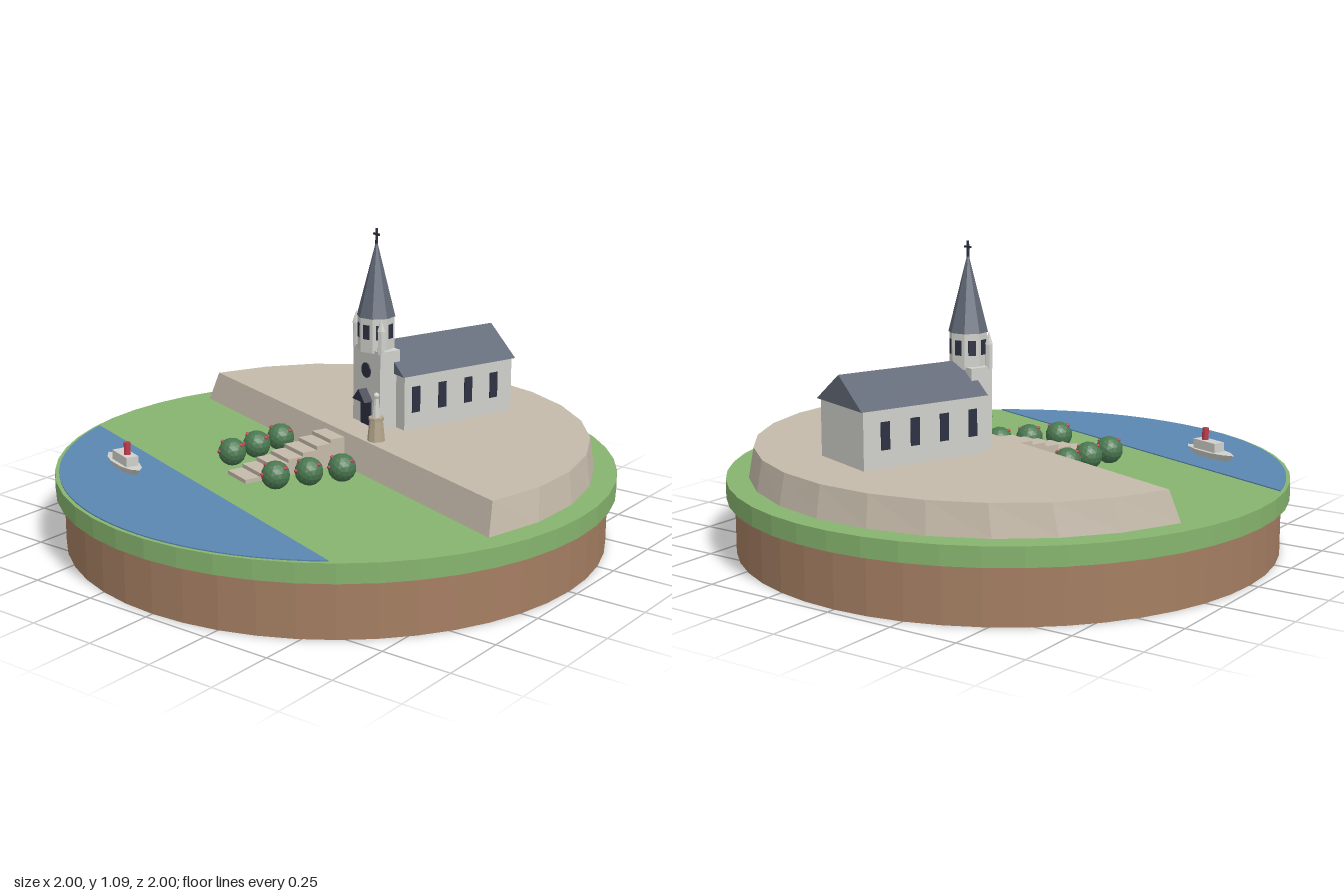
import * as THREE from 'three';

const mat = (name, color) => {
  const m = new THREE.MeshStandardMaterial({ color });
  m.name = name;
  return m;
};
const M = {
  dirt: mat('dirt', 0xa57e62),
  grass: mat('grass', 0x86b46e),
  water: mat('water', 0x5a87b2),
  stone: mat('stone', 0xc5baaa),
  wall: mat('wall', 0xd0d0cb),
  slate: mat('slate', 0x626977),
  dark: mat('darkGlass', 0x2d3142),
  bush: mat('bush', 0x4a7850),
  red: mat('red', 0xc23a4c),
  tan: mat('tan', 0xb4a58c),
};

// Facet a geometry so every face is flat
function flat(geo) {
  const g = geo.index ? geo.toNonIndexed() : geo;
  g.computeVertexNormals();
  return g;
}
function add(parent, name, geo, material, x = 0, y = 0, z = 0) {
  const mesh = new THREE.Mesh(flat(geo), material);
  mesh.name = name;
  mesh.position.set(x, y, z);
  parent.add(mesh);
  return mesh;
}
function group(parent, name, x = 0, y = 0, z = 0) {
  const g = new THREE.Group();
  g.name = name;
  g.position.set(x, y, z);
  parent.add(g);
  return g;
}
const box = (w, h, d) => new THREE.BoxGeometry(w, h, d);
const cyl = (rTop, rBottom, h, n) => new THREE.CylinderGeometry(rTop, rBottom, h, n);

// Flat outline given as [x, z] points, raised to height h
function slab(points, h) {
  const shape = new THREE.Shape(points.map(([x, z]) => new THREE.Vector2(x, -z)));
  return new THREE.ExtrudeGeometry(shape, { depth: h, bevelEnabled: false }).rotateX(-Math.PI / 2);
}
// Move the vertices of one level (top or bottom) by a rule
function moveLevel(geo, test, rule) {
  const p = geo.attributes.position;
  for (let i = 0; i < p.count; i++) {
    if (test(p.getY(i))) {
      const [x, z] = rule(p.getX(i), p.getZ(i));
      p.setX(i, x);
      p.setZ(i, z);
    }
  }
  return geo;
}
// Triangular prism along z, base at y = 0, centred on z
function prism(w, h, d) {
  const s = new THREE.Shape([[-w / 2, 0], [w / 2, 0], [0, h]].map(([x, y]) => new THREE.Vector2(x, y)));
  return new THREE.ExtrudeGeometry(s, { depth: d, bevelEnabled: false }).translate(0, 0, -d / 2);
}
function arc(r, from, to, n) {
  return Array.from({ length: n + 1 }, (_, i) => {
    const a = from + ((to - from) * i) / n;
    return [r * Math.cos(a), r * Math.sin(a)];
  });
}

const GROUND = 0.266, TERRACE = 0.375;

function buildTerrain(site) {
  // Water along the front edge
  const a = Math.asin(0.55 / 0.985);
  add(site, 'water', slab(arc(0.985, a, Math.PI - a, 32), 0.004), M.water, 0, GROUND, 0);

  // Half-round terrace with sloping sides
  const outline = arc(0.92, Math.PI, 2 * Math.PI, 14);
  outline[0][1] = outline[14][1] = 0.016;
  const terrace = slab(outline, TERRACE - GROUND);
  moveLevel(terrace, (y) => y > 0.05, (x, z) => [x * 0.972, z * 0.945 - 0.03]);
  add(site, 'terrace', terrace, M.stone, 0, GROUND, 0);

  // Steps up to the terrace
  const stairs = group(site, 'stairs', 0, GROUND, 0);
  for (let i = 0; i < 7; i++) {
    const h = 0.0142 * (i + 1);
    add(stairs, 'step', box(0.124, h, 0.058), M.stone, 0, h / 2, 0.381 - i * 0.058);
  }

  // Rows of bushes with red flowers beside the steps
  for (const side of [-1, 1]) {
    for (let i = 0; i < 3; i++) {
      const b = group(site, 'bush', side * (0.207 - 0.028 * i), 0.312, 0.108 + 0.117 * i);
      add(b, 'foliage', new THREE.IcosahedronGeometry(0.05, 2), M.bush);
      for (const [x, y, z] of [[-0.022, 0.036, 0.026], [0.034, 0.03, -0.018], [-0.006, 0.008, 0.049]]) {
        add(b, 'flower', new THREE.IcosahedronGeometry(0.008, 0), M.red, x, y, z);
      }
    }
  }
}

function buildChurch(site) {
  const church = group(site, 'church', 0, TERRACE, 0);

  // Nave and roof
  add(church, 'nave', box(0.28, 0.205, 0.48), M.wall, 0, 0.1025, -0.44);
  add(church, 'naveRoof', prism(0.298, 0.103, 0.5), M.slate, 0, 0.2, -0.44);
  for (const side of [-1, 1]) {
    for (let i = 0; i < 4; i++) {
      add(church, 'naveWindow', box(0.008, 0.095, 0.034), M.dark, side * 0.14, 0.11, -0.249 - i * 0.116);
    }
  }

  // Tower with front pinnacles
  const tower = group(church, 'tower', 0, 0, -0.17);
  add(tower, 'towerBody', box(0.174, 0.285, 0.085), M.wall, 0, 0.1425, -0.003);
  for (const side of [-1, 1]) {
    add(tower, 'pinnacle', cyl(0.013, 0.013, 0.085, 6), M.wall, side * 0.08, 0.32, 0.032);
    add(tower, 'pinnacleTip', cyl(0, 0.015, 0.045, 6), M.wall, side * 0.08, 0.385, 0.032);
  }

  // Round window, door and porch gable
  add(tower, 'roundWindow', cyl(0.028, 0.028, 0.008, 16).rotateX(Math.PI / 2), M.dark, 0, 0.203, 0.04);
  add(tower, 'door', box(0.066, 0.1, 0.008), M.dark, 0, 0.05, 0.04);
  add(tower, 'porchGable', prism(0.08, 0.043, 0.036), M.dark, 0, 0.094, 0.057);

  // Octagonal belfry with an opening on each face
  add(tower, 'belfry', cyl(0.067, 0.067, 0.125, 8), M.wall, 0, 0.3375, 0);
  for (let i = 0; i < 8; i++) {
    const a = Math.PI / 8 + (i * Math.PI) / 4;
    const w = add(tower, 'belfryWindow', box(0.026, 0.052, 0.006), M.dark, 0.0615 * Math.sin(a), 0.35, 0.0615 * Math.cos(a));
    w.rotation.y = a;
  }

  // Spire and cross
  add(tower, 'spire', cyl(0.003, 0.07, 0.265, 8), M.slate, 0, 0.5325, 0);
  add(tower, 'crossPost', box(0.007, 0.06, 0.007), M.dark, 0, 0.685, 0);
  add(tower, 'crossBar', box(0.034, 0.007, 0.007), M.dark, 0, 0.694, 0);
}

function buildStatue(site) {
  const s = group(site, 'statue', 0.177, TERRACE, -0.054);
  add(s, 'plinth', cyl(0.024, 0.032, 0.075, 8), M.tan, 0, 0.0375, 0);
  add(s, 'plinthCap', cyl(0.028, 0.028, 0.01, 8), M.tan, 0, 0.08, 0);
  add(s, 'figure', cyl(0.008, 0.016, 0.07, 8), M.wall, 0, 0.12, 0);
  add(s, 'head', new THREE.IcosahedronGeometry(0.011, 1), M.wall, 0, 0.163, 0);
}

function buildBoat(site) {
  const boat = group(site, 'boat', -0.313, 0.27, 0.69);
  // Pointed hull, narrower at the waterline
  const edge = [[-0.125, 0], [-0.08, 0.026], [-0.03, 0.037], [0.05, 0.036], [0.1, 0.022], [0.125, 0]];
  const outline = [...edge, ...edge.slice(1, -1).reverse().map(([x, z]) => [x, -z])];
  const hull = moveLevel(slab(outline, 0.024), (y) => y < 0.01, (x, z) => [x * 0.8, z * 0.7]);
  add(boat, 'hull', hull, M.wall);
  add(boat, 'cabin', box(0.115, 0.036, 0.046), M.wall, 0.013, 0.04, 0);
  add(boat, 'funnel', cyl(0.012, 0.012, 0.044, 10), M.red, 0.031, 0.08, 0);
}

export function createModel() {
  const model = new THREE.Group();
  model.name = 'churchIsland';
  add(model, 'dirtBase', cyl(0.97, 0.97, 0.2, 48), M.dirt, 0, 0.1, 0);
  add(model, 'grassDisc', cyl(1, 1, GROUND - 0.198, 48), M.grass, 0, (GROUND + 0.198) / 2, 0);

  // Everything on the disc is turned together
  const site = group(model, 'site');
  site.rotation.y = -Math.PI / 9;
  buildTerrain(site);
  buildChurch(site);
  buildStatue(site);
  buildBoat(site);
  return model;
}
